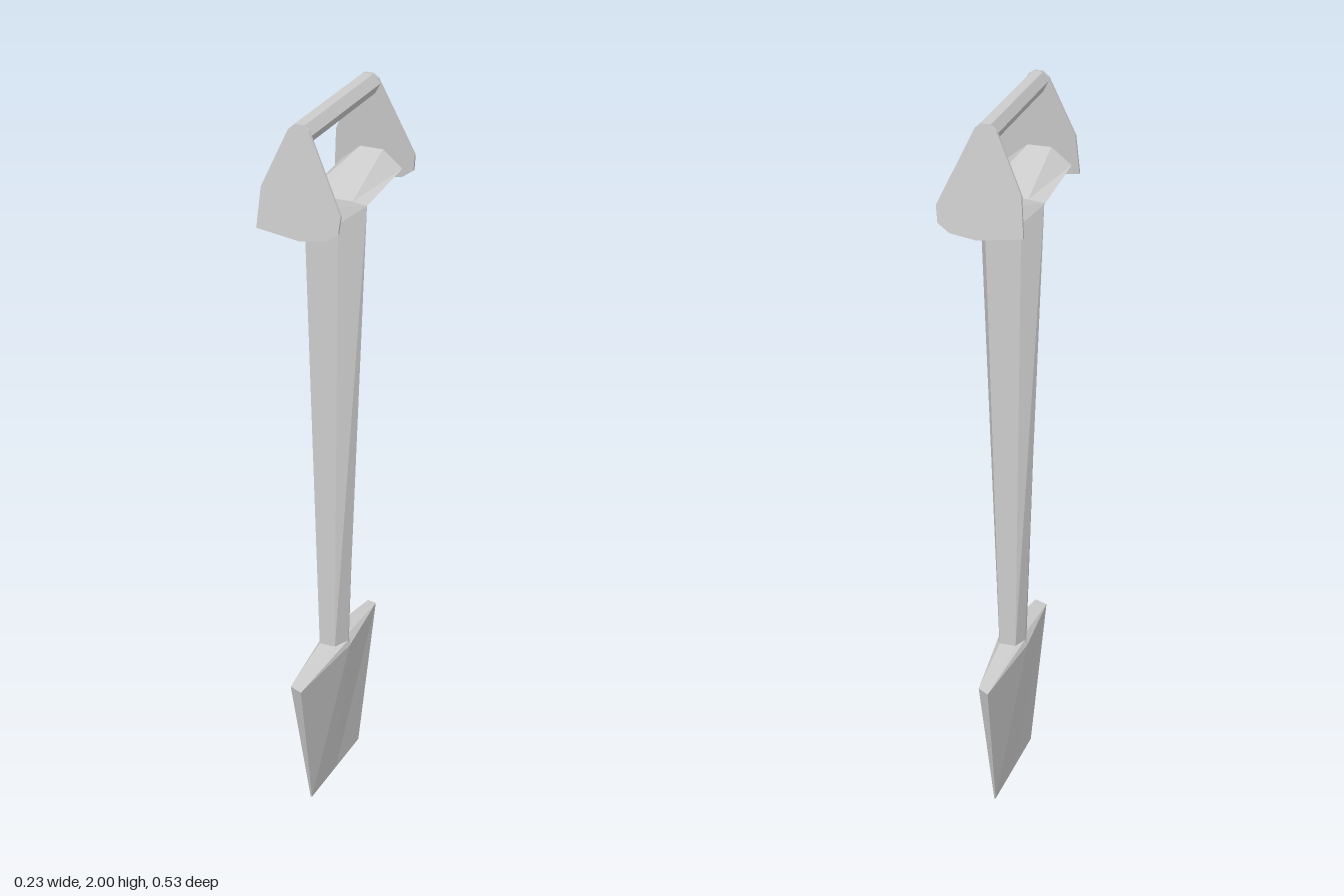
import * as THREE from 'three';

const material = new THREE.MeshStandardMaterial({ color: 0xcccccc, flatShading: true });

// Closed skin through matching loops of [x, y, z] points, capped at both ends.
// Loops run counter-clockwise as seen from the end the skin advances towards.
function loft(name, loops) {
  const n = loops[0].length;
  const index = [];
  for (let s = 0; s < loops.length - 1; s++) {
    for (let i = 0; i < n; i++) {
      const j = (i + 1) % n;
      const a = s * n + i, b = s * n + j;
      index.push(a, b, b + n, a, b + n, a + n);
    }
  }
  const last = (loops.length - 1) * n;
  for (let i = 1; i < n - 1; i++) {
    index.push(0, i + 1, i, last, last + i, last + i + 1);
  }
  const geometry = new THREE.BufferGeometry();
  geometry.setAttribute('position', new THREE.Float32BufferAttribute(loops.flat(2), 3));
  geometry.setIndex(index);
  const flat = geometry.toNonIndexed();
  flat.computeVertexNormals();
  const mesh = new THREE.Mesh(flat, material);
  mesh.name = name;
  return mesh;
}

const atY = (points, y) => points.map(([x, z]) => [x, y, z]);
const atZ = (points, z) => points.map(([x, y]) => [x, y, z]);

export function createModel() {
  const group = new THREE.Group();
  group.name = 'spade';

  // Blade: sharp straight edge below, flat hexagon above, rising to the shaft
  const shaftFoot = [[0.03, 0], [0.015, -0.04], [-0.03, -0.04], [-0.045, 0], [-0.035, 0.045], [0.01, 0.045]];
  const edge = [[-0.008, 0], [-0.008, -0.16], [-0.012, -0.16], [-0.012, 0], [-0.012, 0.16], [-0.008, 0.16]];
  const shoulder = [
    [0.035, 0.415, 0], [0.005, 0.41, -0.25], [-0.025, 0.405, -0.264],
    [-0.052, 0.415, 0], [-0.03, 0.405, 0.245], [0.008, 0.405, 0.262],
  ];
  group.add(loft('blade', [atY(edge, 0), shoulder, atY(shaftFoot, 0.43)]));

  // Shaft: irregular hexagon that widens sideways towards the top
  const shaftHead = [[0.08, 0], [0.055, -0.04], [-0.045, -0.04], [-0.093, 0], [-0.075, 0.045], [0.02, 0.045]];
  group.add(loft('shaft', [atY(shaftFoot, 0.42), atY(shaftHead, 1.725)]));

  // Yoke: two arms, pinched flat over the shaft and deep at the ends
  const armEnd = [[0.08, 1.745], [0.025, 1.79], [-0.04, 1.79], [-0.095, 1.745], [-0.05, 1.712], [0.04, 1.712]];
  const armRoot = [[0.08, 1.724], [0.04, 1.73], [-0.05, 1.73], [-0.095, 1.724], [-0.05, 1.72], [0.04, 1.72]];
  group.add(loft('yoke', [atZ(armEnd, -0.228), atZ(armRoot, 0), atZ(armEnd, 0.228)]));

  // Hand grip: thin bar across the top
  const grip = [[0.025, 1.975], [0.006, 1.999], [-0.022, 1.999], [-0.037, 1.975], [-0.022, 1.945], [0.008, 1.945]];
  group.add(loft('handGrip', [atZ(grip, -0.213), atZ(grip, 0.213)]));

  // Side plates: thin rounded triangles leaning inwards towards the grip
  const plate = [
    [0.112, 1.785], [0.018, 1.988], [0.002, 2], [-0.02, 2], [-0.037, 1.985],
    [-0.106, 1.83], [-0.115, 1.722], [0.005, 1.706], [0.075, 1.717], [0.107, 1.74],
  ];
  const leaning = (base, lean, skew) =>
    plate.map(([x, y]) => [x, y, base + (2 - y) * lean + x * skew]);
  group.add(loft('frontPlate', [leaning(0.207, 0.095, 0), leaning(0.214, 0.095, 0)]));
  group.add(loft('backPlate', [leaning(-0.214, -0.11, -0.03), leaning(-0.207, -0.11, -0.03)]));

  return group;
}
